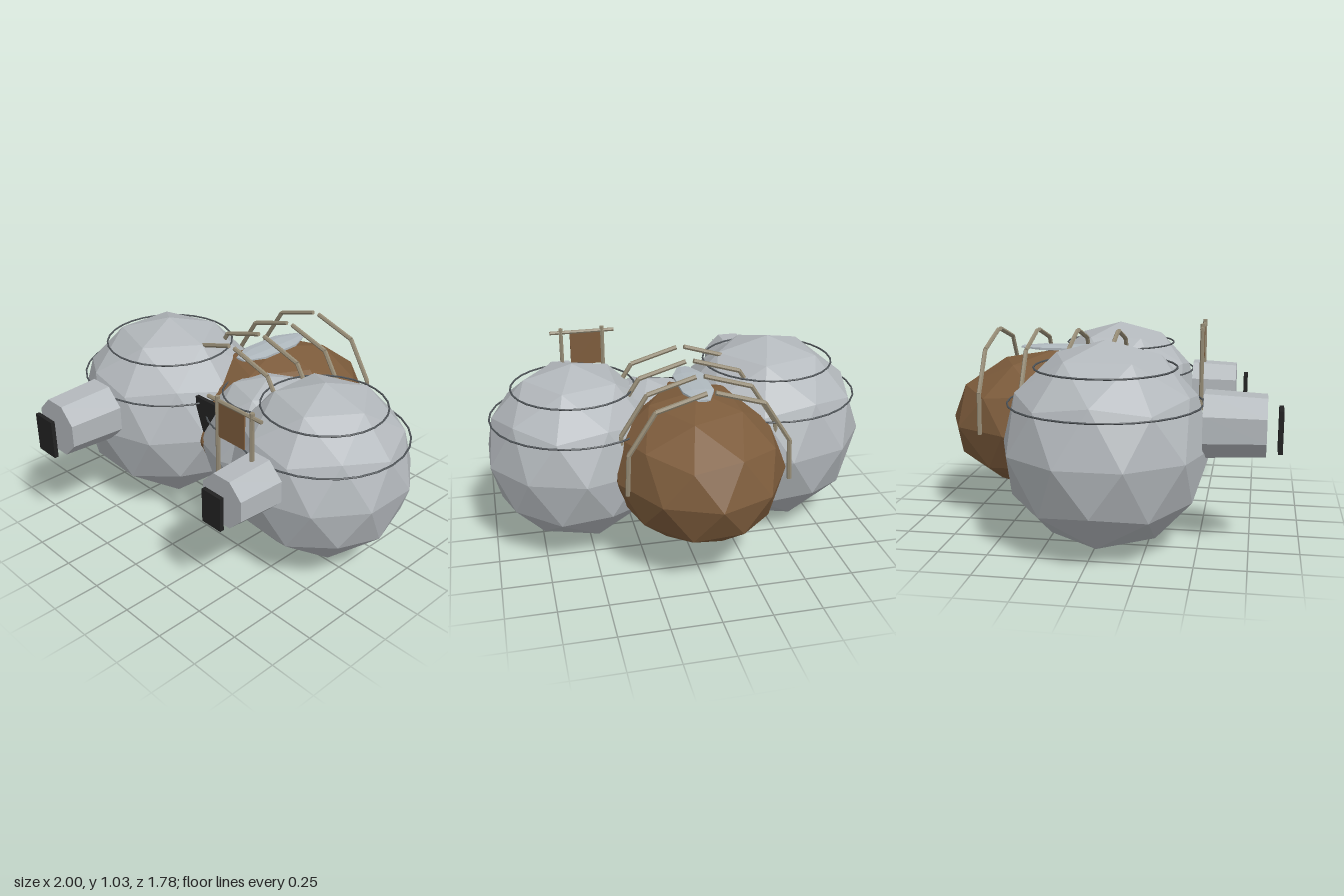
import * as THREE from 'three';

const mat = (name, color) => {
  const m = new THREE.MeshStandardMaterial({ color, flatShading: true });
  m.name = name;
  return m;
};

export function createModel() {
  const snow = mat('snow', 0xb3b8bc);
  const hide = mat('hide', 0x7d5c3c);
  const bone = mat('bone', 0x958b75);
  const seam = mat('seam', 0x4e5357);
  const dark = mat('dark opening', 0x222222);
  const boatSkin = mat('boat skin', 0xafb8be);

  const model = new THREE.Group();
  const add = (parent, name, geo, material, x = 0, y = 0, z = 0) => {
    const mesh = new THREE.Mesh(geo, material);
    mesh.name = name;
    mesh.position.set(x, y, z);
    parent.add(mesh);
    return mesh;
  };
  const group = (name, x = 0, y = 0, z = 0) => {
    const g = new THREE.Group();
    g.name = name;
    g.position.set(x, y, z);
    model.add(g);
    return g;
  };

  // Faceted ball with one corner straight up
  const ball = () => new THREE.IcosahedronGeometry(1, 1)
    .rotateX(-Math.atan(1.618034)).rotateY(Math.PI / 2);

  // Round rod between two points
  const rod = (parent, name, a, b, r) => {
    const dir = b.clone().sub(a);
    const mesh = add(parent, name, new THREE.CylinderGeometry(r, r, dir.length(), 6), bone);
    mesh.position.copy(a).addScaledVector(dir, 0.5);
    mesh.quaternion.setFromUnitVectors(new THREE.Vector3(0, 1, 0), dir.normalize());
  };

  // Snow domes with two seam rings each
  const domes = [
    ['largeDome', -0.51, 0.522, 0.045, 0.515],
    ['mediumDome', 0.553, 0.525, -0.045, 0.47],
    ['smallDome', 0.165, 0.525, -0.055, 0.36],
  ];
  for (const [name, x, y, z, r] of domes) {
    const g = group(name, x, y, z);
    add(g, 'domeShell', ball().scale(r, r, r), snow);
    for (const [radius, height] of [[0.67, 0.75], [0.922, 0.42]]) {
      const ring = new THREE.TorusGeometry(radius * r, 0.005, 5, 28).rotateX(Math.PI / 2);
      add(g, 'seamRing', ring, seam, 0, height * r, 0);
    }
  }

  // Hide-covered hut
  add(model, 'hideHut', ball().scale(0.45, 0.382, 0.57), hide, -0.027, 0.524, -0.32);

  // Eight-sided entrance tunnels, slightly narrower at the front
  const tunnel = (name, x, y, z, front, back, length) => {
    const geo = new THREE.CylinderGeometry(front, back, length, 8)
      .rotateY(Math.PI / 8).rotateX(Math.PI / 2);
    add(model, name, geo, snow, x, y, z);
  };
  tunnel('largeTunnel', -0.51, 0.648, 0.67, 0.152, 0.167, 0.295);
  tunnel('mediumTunnel', 0.553, 0.632, 0.517, 0.137, 0.15, 0.25);

  // Dark door panels
  const door = (name, x, y, z, w, h) =>
    add(model, name, new THREE.BoxGeometry(w, h, 0.022), dark, x, y, z);
  door('largeDoor', -0.508, 0.628, 0.883, 0.138, 0.207);
  door('mediumDoor', 0.553, 0.613, 0.697, 0.122, 0.178);
  door('hutDoor', -0.027, 0.648, 0.21, 0.145, 0.245);

  // Rib arches, each a mirrored pair of bent bones
  const ribPoints = [[0.02, 1.013], [0.262, 0.94], [0.392, 0.735], [0.402, 0.525]];
  for (const z of [-0.62, -0.405, -0.188, 0.03]) {
    const arch = group('ribArch', -0.027, 0, z);
    for (const side of [-1, 1]) {
      const pts = ribPoints.map(([x, y]) => new THREE.Vector3(side * x, y, 0));
      for (let i = 0; i < 3; i++) rod(arch, 'ribBone', pts[i], pts[i + 1], 0.012);
    }
  }

  // Drying rack with a stretched hide
  const rack = group('dryingRack', 0, 0, 0.452);
  const v = (x, y) => new THREE.Vector3(x, y, 0);
  rod(rack, 'rackPost', v(0.325, 0.525), v(0.325, 1.018), 0.012);
  rod(rack, 'rackPost', v(0.555, 0.525), v(0.555, 1.018), 0.012);
  rod(rack, 'rackBar', v(0.26, 0.995), v(0.617, 0.995), 0.01);
  add(rack, 'stretchedHide', new THREE.BoxGeometry(0.172, 0.185, 0.009), hide, 0.42, 0.897, 0);

  // Slim flattened boat on top of the hut
  const boat = group('boat', -0.027, 0.922, -0.262);
  boat.scale.set(1, 0.18, 1);
  const hull = (front, back, length, z, open) => add(boat, 'boatHull',
    new THREE.CylinderGeometry(front, back, length, 8, 1, open)
      .rotateY(Math.PI / 8).rotateX(Math.PI / 2), boatSkin, 0, 0, z);
  hull(0.085, 0.085, 0.23, 0, true);
  hull(0.033, 0.085, 0.115, 0.1725, false);
  hull(0.085, 0.033, 0.115, -0.1725, false);

  return model;
}
